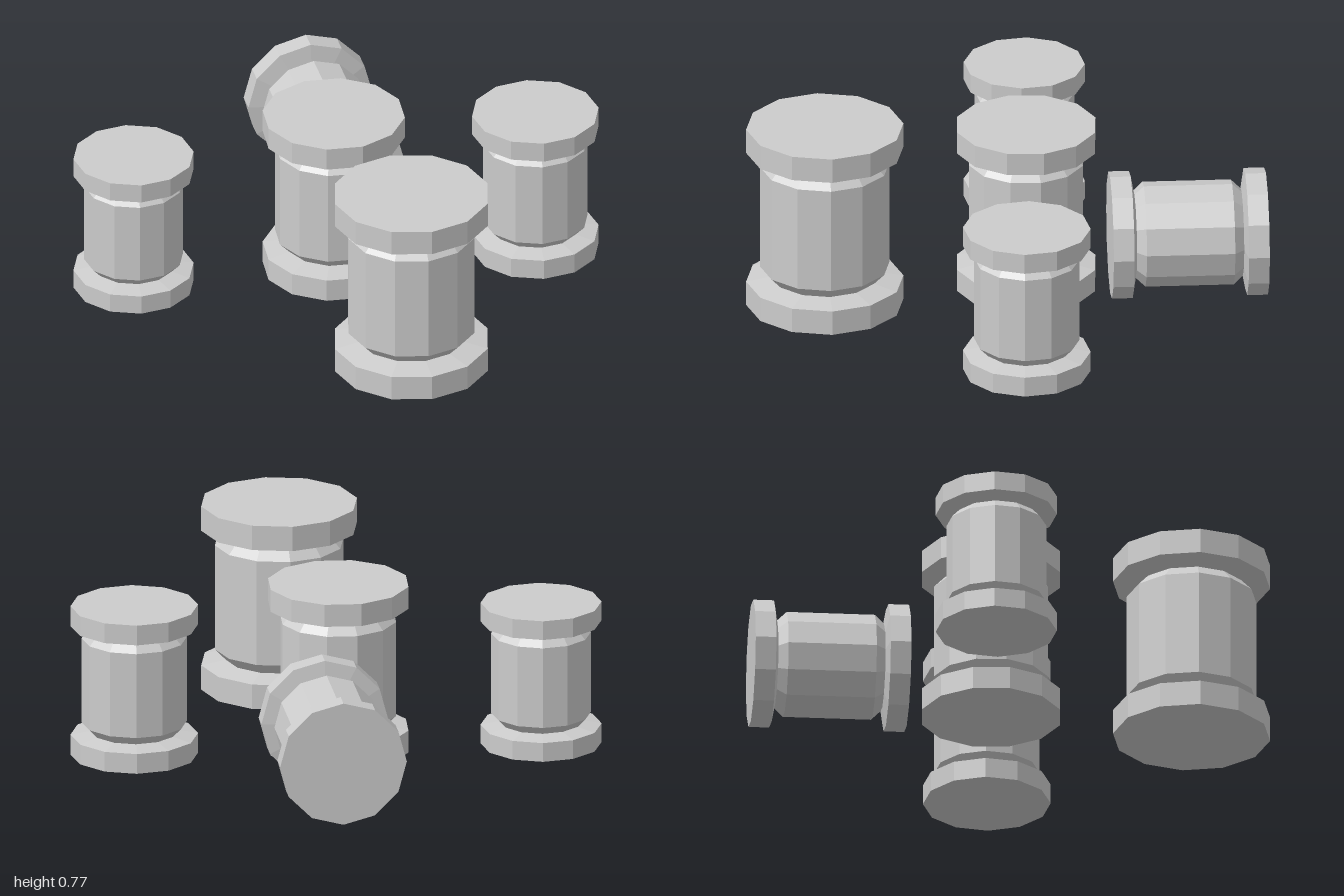
import * as THREE from 'three';

const SIDES = 12;
const HEIGHT = 2.445; // spool height for a rim radius of 1

// Half profile (radius, height): flat end, rim, sloped groove, body shoulder
const HALF = [[0, 0], [1, 0], [1, 0.325], [0.685, 0.382], [0.825, 0.53]];

function spoolGeometry() {
  const mirrored = HALF.map(([r, y]) => [r, HEIGHT - y]).reverse();
  const points = [...HALF, ...mirrored].map(([r, y]) => new THREE.Vector2(r, y - HEIGHT / 2));
  return new THREE.LatheGeometry(points, SIDES);
}

export function createModel() {
  const model = new THREE.Group();
  model.name = 'spools';
  const grey = new THREE.MeshStandardMaterial({ color: 0xcccccc, flatShading: true });
  grey.name = 'light grey';
  const geometry = spoolGeometry();

  const addSpool = (name, radius, x, y, z, turn, tip = 0) => {
    const spool = new THREE.Mesh(geometry, grey);
    spool.name = name;
    spool.scale.setScalar(radius);
    spool.position.set(x, y, z);
    spool.rotation.set(THREE.MathUtils.degToRad(tip), THREE.MathUtils.degToRad(turn), 0, 'YXZ');
    model.add(spool);
  };

  // Standing spools: name, radius, x, z, turn in degrees
  const standing = [
    ['largeSpool', 0.313, 0.443, 0.683, -3],
    ['middleSpool', 0.283, -0.01, 0.005, 6],
    ['rightSpool', 0.24, -0.757, 0.307, -11],
    ['leftSpool', 0.253, 0.743, -0.295, -10.5],
  ];
  for (const [name, r, x, z, turn] of standing) {
    addSpool(name, r, x, (r * HEIGHT) / 2, z, turn);
  }

  // Spool lying on its side at the back
  addSpool('fallenSpool', 0.253, -0.178, 0.253, -0.618, 25, 90);

  return model;
}
